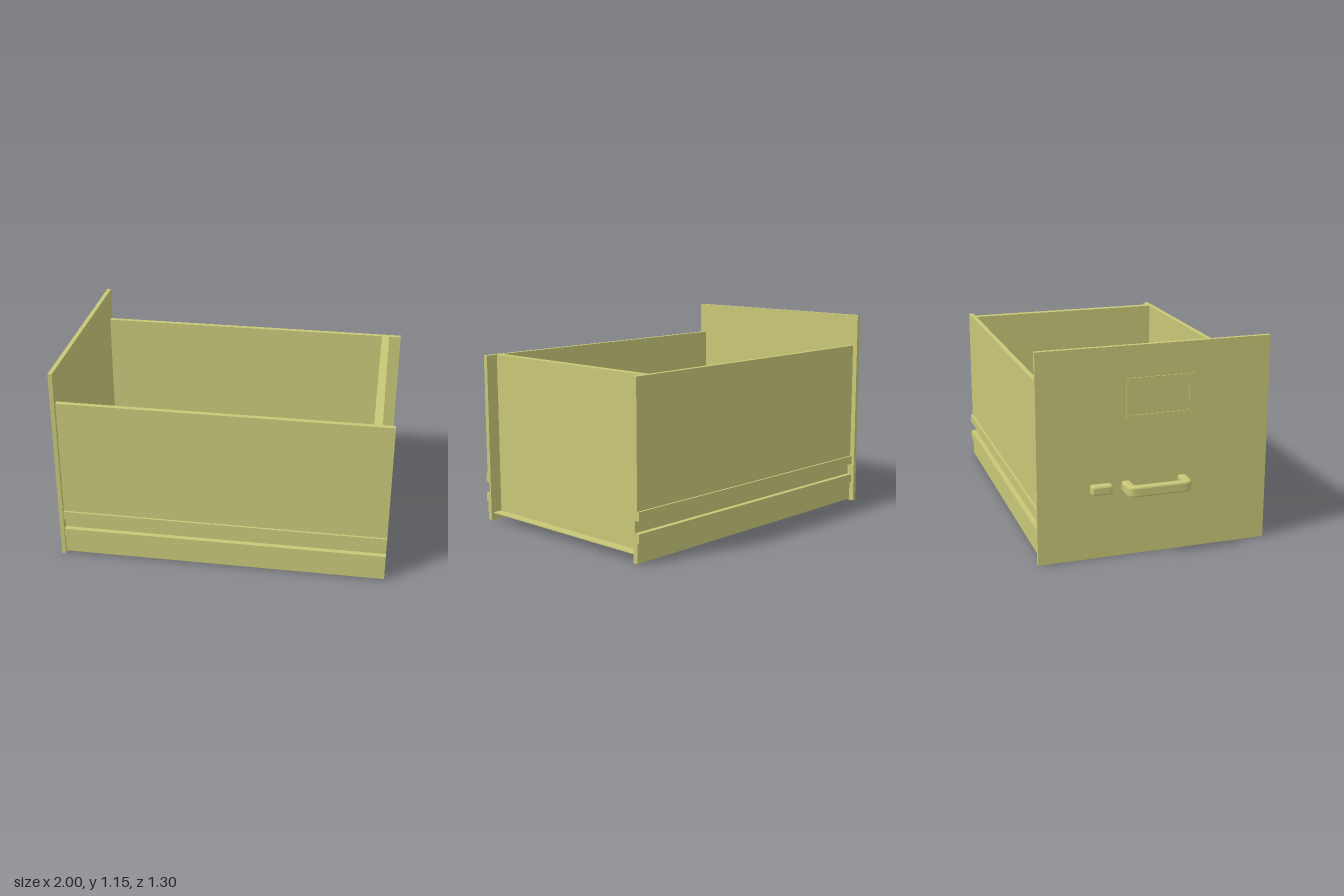
import * as THREE from 'three';

const material = new THREE.MeshStandardMaterial({ color: 0xc8c878, flatShading: true });

function add(parent, name, geometry) {
  const mesh = new THREE.Mesh(geometry, material);
  mesh.name = name;
  parent.add(mesh);
  return mesh;
}

// Box given by its limits on each axis
function slab(x0, x1, y0, y1, z0, z1) {
  return new THREE.BoxGeometry(x1 - x0, y1 - y0, z1 - z0)
    .translate((x0 + x1) / 2, (y0 + y1) / 2, (z0 + z1) / 2);
}

// Side wall: cross-section with a grooved runner, extruded along x
function sideWall(side) {
  const inner = 0.591, outer = 0.619, lug = 0.631, groove = 0.602;
  const profile = [
    [inner, 0.007], [outer, 0.007], [outer, 0.115], [lug, 0.115], [lug, 0.165],
    [groove, 0.165], [groove, 0.23], [lug, 0.23], [lug, 0.28], [outer, 0.28],
    [outer, 0.966], [inner, 0.966],
  ];
  const shape = new THREE.Shape(profile.map(([z, y]) => new THREE.Vector2(-side * z, y)));
  return new THREE.ExtrudeGeometry(shape, { depth: 1.841, bevelEnabled: false })
    .rotateY(Math.PI / 2).translate(-0.854, 0, -0.002);
}

// Outline in the ground plane (x, -z), extruded upward with softened edges
function softExtrude(shape, y0, y1) {
  const b = 0.01;
  return new THREE.ExtrudeGeometry(shape, {
    depth: y1 - y0 - 2 * b, bevelThickness: b, bevelSize: b, bevelOffset: -b,
    bevelSegments: 2, curveSegments: 6,
  }).rotateX(-Math.PI / 2).translate(0, y0 + b, 0);
}

function pullHandle() {
  const root = -0.87, x = -0.996, z0 = -0.17, z1 = 0.19, t = 0.045, r = 0.05, q = 0.015;
  const s = new THREE.Shape();
  s.moveTo(root, z0);
  s.lineTo(x + r, z0);
  s.quadraticCurveTo(x, z0, x, z0 + r);
  s.lineTo(x, z1 - r);
  s.quadraticCurveTo(x, z1, x + r, z1);
  s.lineTo(root, z1);
  s.lineTo(root, z1 - t);
  s.lineTo(x + t + q, z1 - t);
  s.quadraticCurveTo(x + t, z1 - t, x + t, z1 - t - q);
  s.lineTo(x + t, z0 + t + q);
  s.quadraticCurveTo(x + t, z0 + t, x + t + q, z0 + t);
  s.lineTo(root, z0 + t);
  s.closePath();
  return softExtrude(s, 0.365, 0.423);
}

function latchButton() {
  const root = -0.865, x = -0.92, z0 = 0.25, z1 = 0.365, r = 0.015;
  const s = new THREE.Shape();
  s.moveTo(root, z0);
  s.lineTo(x + r, z0);
  s.quadraticCurveTo(x, z0, x, z0 + r);
  s.lineTo(x, z1 - r);
  s.quadraticCurveTo(x, z1, x + r, z1);
  s.lineTo(root, z1);
  s.closePath();
  return softExtrude(s, 0.368, 0.42);
}

// Thin rectangular frame for a label card
function labelFrame() {
  const rect = (P, a, b, c, d) => new P([[a, b], [c, b], [c, d], [a, d]]
    .map(([u, v]) => new THREE.Vector2(u, v)));
  const s = rect(THREE.Shape, -0.165, 0.755, 0.205, 0.98);
  s.holes.push(rect(THREE.Path, -0.14, 0.78, 0.18, 0.955));
  return new THREE.ExtrudeGeometry(s, { depth: 0.01, bevelEnabled: false })
    .rotateY(-Math.PI / 2).translate(-0.872, 0, 0);
}

export function createModel() {
  const model = new THREE.Group();
  model.name = 'fileDrawer';

  // The drawer sits slightly turned on its base
  const drawer = new THREE.Group();
  drawer.name = 'drawer';
  drawer.rotation.y = 0.018;
  model.add(drawer);

  // Box of the drawer
  add(drawer, 'facePanel', slab(-0.877, -0.853, 0, 1.152, -0.65, 0.638));
  add(drawer, 'leftWall', sideWall(1));
  add(drawer, 'rightWall', sideWall(-1));
  add(drawer, 'backWall', slab(0.872, 0.917, 0.05, 0.966, -0.594, 0.59));
  add(drawer, 'floor', slab(-0.854, 0.97, 0.045, 0.051, -0.594, 0.59));

  // Fittings on the face
  add(drawer, 'pullHandle', pullHandle());
  add(drawer, 'latchButton', latchButton());
  add(drawer, 'labelFrame', labelFrame());

  return model;
}
